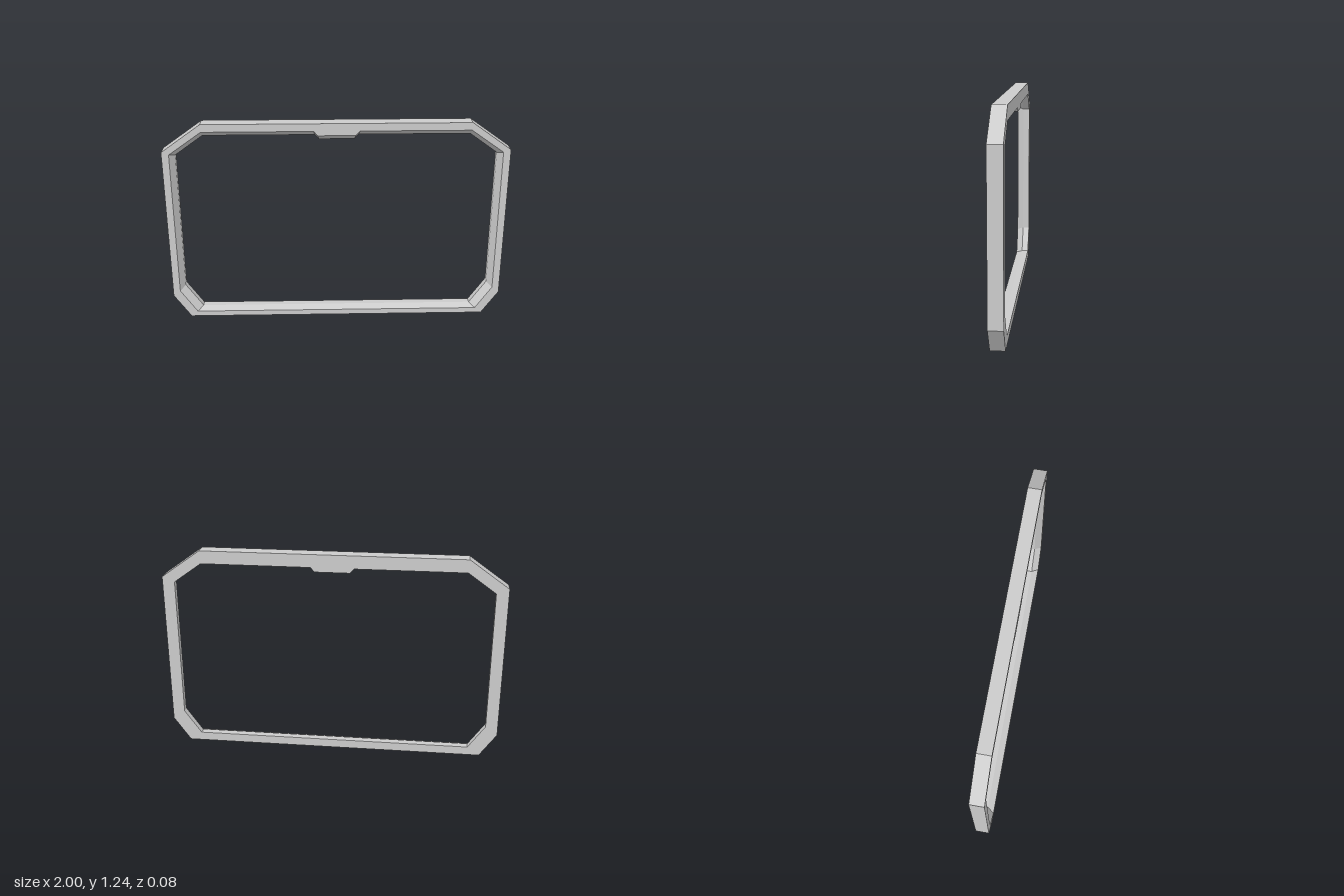
import * as THREE from 'three';

const HALF_DEPTH = 0.041;

// Mirrors the right half of an outline (listed bottom to top) into a full counter-clockwise loop
function mirrored(half) {
  const left = half.map(([x, y]) => [-x, y]).reverse();
  return [...half, ...left].map(([x, y]) => new THREE.Vector2(x, y));
}

// Flat-shaded wall joining two loops with equal point counts
function wall(a, za, b, zb) {
  const pos = [];
  a.forEach((p, i) => {
    const j = (i + 1) % a.length;
    const p0 = [p.x, p.y, za], p1 = [a[j].x, a[j].y, za];
    const q0 = [b[i].x, b[i].y, zb], q1 = [b[j].x, b[j].y, zb];
    pos.push(...p0, ...p1, ...q1, ...p0, ...q1, ...q0);
  });
  const g = new THREE.BufferGeometry();
  g.setAttribute('position', new THREE.Float32BufferAttribute(pos, 3));
  g.computeVertexNormals();
  return g;
}

// Flat ring between an outer loop and an opening
function ring(outer, inner) {
  const shape = new THREE.Shape(outer);
  shape.holes.push(new THREE.Path(inner));
  return new THREE.ShapeGeometry(shape);
}

export function createModel() {
  const group = new THREE.Group();
  group.name = 'screenFrame';
  const material = new THREE.MeshStandardMaterial({ color: 0xcccccc, flatShading: true });
  const add = (name, geometry) => {
    const mesh = new THREE.Mesh(geometry, material);
    mesh.name = name;
    group.add(mesh);
  };

  // Outlines with chamfered corners; the openings include the tab at the top centre
  const outer = mirrored([[0.9, 0], [1, 0.145], [1, 1.073], [0.77, 1.237]]);
  const frontOpening = mirrored([
    [0.86, 0.033], [0.958, 0.177], [0.958, 1.058], [0.768, 1.192], [0.132, 1.192], [0.108, 1.166],
  ]);
  const backOpening = mirrored([
    [0.828, 0.052], [0.928, 0.197], [0.928, 1.043], [0.765, 1.16], [0.126, 1.16], [0.102, 1.134],
  ]);

  // Front and back faces
  add('frontFace', ring(outer, frontOpening).translate(0, 0, HALF_DEPTH));
  add('backFace', ring(outer, backOpening).translate(0, 0, HALF_DEPTH).rotateY(Math.PI));

  // Outer rim, sloped inner bevel, and straight inner lip behind it
  add('outerRim', wall(outer, -HALF_DEPTH, outer, HALF_DEPTH));
  add('innerBevel', wall(frontOpening, HALF_DEPTH, backOpening, 0));
  add('innerLip', wall(backOpening, 0, backOpening, -HALF_DEPTH));

  return group;
}
